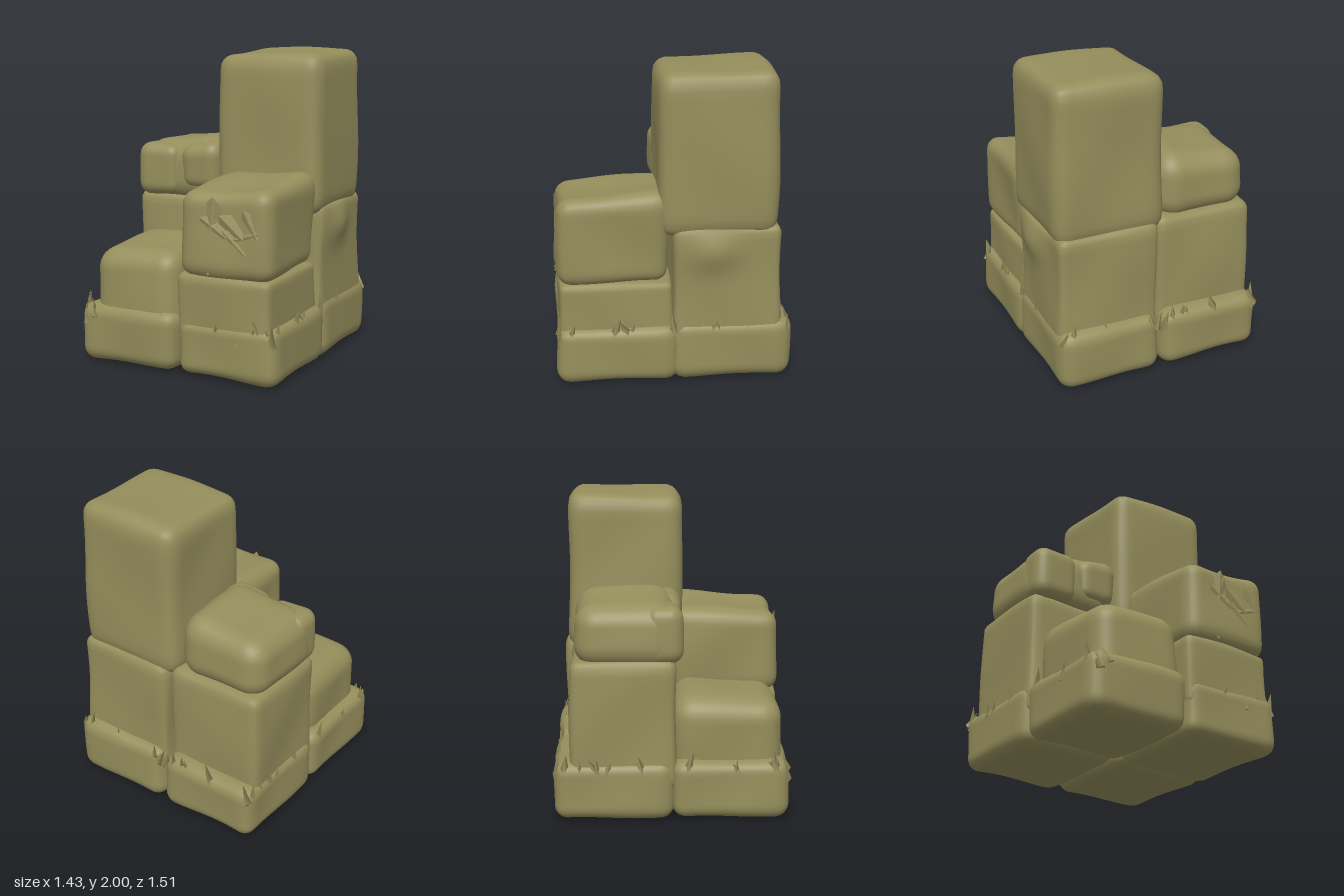
import * as THREE from 'three';
import { mergeVertices } from 'three/addons/utils/BufferGeometryUtils.js';

const stone = new THREE.MeshStandardMaterial({ color: 0x958e5c });
stone.name = 'olive stone';

let seed;
const rand = () => (seed = (seed * 16807) % 2147483647) / 2147483647;

// Worn stone block between two corners: rounded edges, gentle lumps, sloping top
function block(name, min, max, { r = 0.07, rough = 0.006, slopeX = 0, slopeZ = 0, bulge = 0, topInset = 0 } = {}) {
  const size = max.map((v, i) => v - min[i]);
  const mid = max.map((v, i) => (v + min[i]) / 2);
  const half = new THREE.Vector3(...size).multiplyScalar(0.5);
  let geo = new THREE.BoxGeometry(...size, 18, 18, 18);
  geo.deleteAttribute('uv');
  geo.deleteAttribute('normal');
  geo = mergeVertices(geo);
  const pos = geo.attributes.position;
  const inner = half.clone().subScalar(r);
  const p = new THREE.Vector3(), q = new THREE.Vector3();
  for (let i = 0; i < pos.count; i++) {
    p.fromBufferAttribute(pos, i);
    q.copy(p).clamp(inner.clone().negate(), inner);
    p.sub(q).normalize();
    const x = q.x + mid[0], y = q.y + mid[1], z = q.z + mid[2];
    const lump = rough * (Math.sin(9 * x + 5 * y + 2) + Math.sin(8 * z - 7 * y + 4 * x) - 0.6);
    // a soft swelling on the outer +x face
    const swell = p.x > 0.5 ? bulge * Math.exp(-(((y - 0.88) / 0.12) ** 2) - ((z + 0.25) / 0.17) ** 2) : 0;
    q.addScaledVector(p, r + lump);
    q.x += swell;
    const t = (q.y + half.y) / size[1];
    q.y += t * t * (slopeX * q.x / half.x + slopeZ * q.z / half.z);
    q.x *= 1 - topInset * t * t;
    q.z *= 1 - topInset * t * t;
    pos.setXYZ(i, q.x, q.y, q.z);
  }
  geo.computeVertexNormals();
  const mesh = new THREE.Mesh(geo, stone);
  mesh.position.set(...mid);
  mesh.name = name;
  return mesh;
}

// Pointed splinter standing on a ledge, turned outward
function chip(x, y, z, turn, s) {
  const mesh = new THREE.Mesh(new THREE.ConeGeometry(s * 0.5, s * 1.6, 3), stone);
  mesh.position.set(x, y, z);
  mesh.rotation.set((rand() - 0.5) * 0.8, turn, (rand() - 0.5) * 0.9);
  mesh.scale.z = 0.5;
  mesh.name = 'stoneChip';
  return mesh;
}

export function createModel() {
  seed = 7;
  const g = new THREE.Group();
  g.name = 'steppedStoneBlocks';

  // Footing of four blocks, flaring slightly upward
  g.add(
    block('footingFrontLeft', [0.0, 0.01, -0.02], [0.69, 0.38, 0.74], { r: 0.08, topInset: -0.015 }),
    block('footingFrontRight', [-0.71, 0.01, 0], [-0.01, 0.4, 0.74], { r: 0.09, topInset: -0.02 }),
    block('footingBackLeft', [0, 0.01, -0.74], [0.69, 0.41, 0.02], { r: 0.09, topInset: -0.015 }),
    block('footingBackRight', [-0.71, 0.01, -0.74], [-0.01, 0.4, 0.02], { r: 0.09, topInset: -0.015 }),
  );

  // Tall tower at the back, in two courses
  g.add(
    block('towerLower', [-0.01, 0.2, -0.68], [0.68, 1.03, 0.02], { bulge: 0.05, r: 0.05, topInset: 0.03 }),
    block('towerUpper', [-0.06, 0.96, -0.65], [0.68, 1.99, 0.1], { r: 0.1, slopeX: 0.008, slopeZ: -0.008, rough: 0.005 }),
  );

  // Medium stack at the back
  g.add(
    block('mediumLower', [-0.69, 0.2, -0.64], [0, 1.03, 0.04], { r: 0.06, topInset: 0.03 }),
    block('mediumUpper', [-0.68, 0.97, -0.61], [-0.04, 1.4, 0.05], { r: 0.15, slopeX: 0.03, topInset: 0.03 }),
    block('mediumFrontLobe', [-0.67, 1.01, -0.16], [-0.36, 1.36, 0.075], { r: 0.08 }),
    block('mediumFrontLobe', [-0.35, 1.06, -0.16], [-0.05, 1.38, 0.075], { r: 0.09, slopeX: 0.02 }),
  );

  // Front stacks
  g.add(
    block('frontTallLower', [0, 0.2, 0], [0.65, 0.67, 0.73], { r: 0.05 }),
    block('frontTallUpper', [0.02, 0.64, 0.02], [0.66, 1.22, 0.74], { r: 0.1, slopeX: 0.02, slopeZ: -0.02, rough: 0.009 }),
    block('frontLow', [-0.64, 0.2, 0], [-0.01, 0.78, 0.71], { r: 0.14, slopeX: 0.015, slopeZ: -0.015, topInset: 0.03 }),
  );

  // Splinters along the footing ledge, thickest at the corners
  for (let i = 0; i < 56; i++) {
    const t = Math.sin((rand() - 0.5) * Math.PI) * 0.66;
    const s = 0.04 + rand() * 0.05, y = 0.34 + rand() * 0.06;
    const side = i % 4;
    if (side === 0) g.add(chip(t, y - 0.03, 0.72, 0, s));
    else if (side === 1) g.add(chip(t, y, -0.71, Math.PI, s));
    else if (side === 2) g.add(chip(0.67, y, t, Math.PI / 2, s));
    else g.add(chip(-0.69, y, t, -Math.PI / 2, s));
  }

  // Splintered flakes on the tall front block
  for (let i = 0; i < 12; i++) {
    const flake = new THREE.Mesh(new THREE.TetrahedronGeometry(0.08 + rand() * 0.06), stone);
    flake.scale.z = 0.25;
    flake.rotation.z = rand() * 6;
    flake.position.set(0.14 + rand() * 0.4, 0.74 + rand() * 0.34, 0.72);
    flake.name = 'stoneFlake';
    g.add(flake);
  }
  return g;
}
